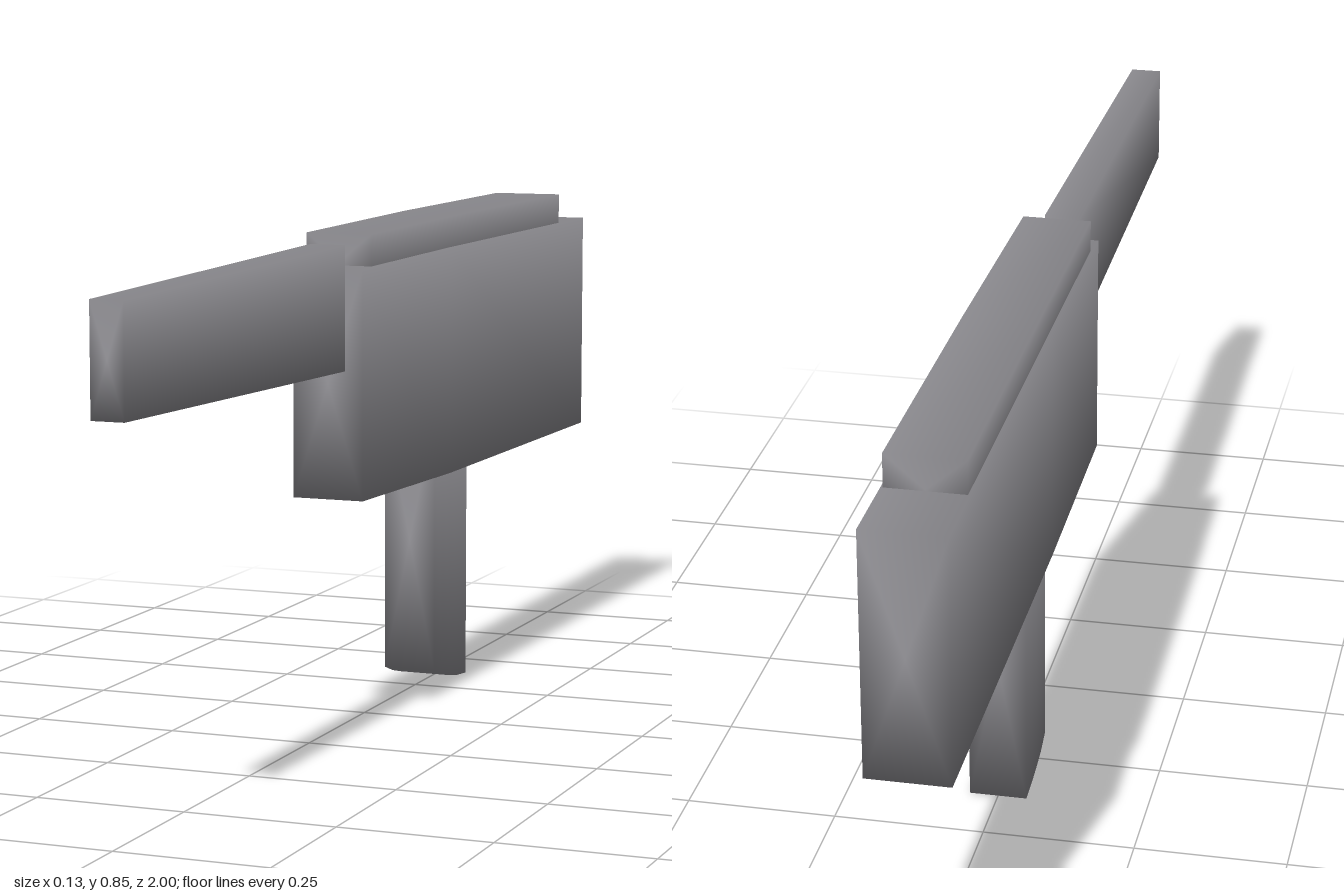
import * as THREE from 'three';

const material = new THREE.MeshStandardMaterial({ color: 0x98979c });

// Loft of rectangles from front to back; each section is [z, halfWidth, bottom, top].
// Corner normals point diagonally outward, so the shading rolls around the section.
function loft(name, sections) {
  const positions = [];
  const normals = [];
  const index = [];
  const d = Math.SQRT1_2;
  for (const [z, w, bottom, top] of sections) {
    positions.push(w, bottom, z, w, top, z, -w, top, z, -w, bottom, z);
    normals.push(d, -d, 0, d, d, 0, -d, d, 0, -d, -d, 0);
  }
  for (let s = 0; s < sections.length - 1; s++) {
    for (let k = 0; k < 4; k++) {
      const a = s * 4 + k;
      const b = s * 4 + (k + 1) % 4;
      index.push(a, a + 4, b, b, a + 4, b + 4);
    }
  }
  // End caps fan out from a neutral centre point, shaded by the rim normals
  for (const s of [0, sections.length - 1]) {
    const [z, , bottom, top] = sections[s];
    const centre = positions.length / 3;
    positions.push(0, (bottom + top) / 2, z);
    normals.push(0, 0, 0);
    for (let k = 0; k < 4; k++) {
      const a = s * 4 + k;
      const b = s * 4 + (k + 1) % 4;
      if (s === 0) index.push(centre, a, b);
      else index.push(centre, b, a);
    }
  }
  const geometry = new THREE.BufferGeometry();
  geometry.setAttribute('position', new THREE.Float32BufferAttribute(positions, 3));
  geometry.setAttribute('normal', new THREE.Float32BufferAttribute(normals, 3));
  geometry.setIndex(index);
  const mesh = new THREE.Mesh(geometry, material);
  mesh.name = name;
  return mesh;
}

export function createModel() {
  const model = new THREE.Group();
  model.name = 'model';

  model.add(
    // Tapering barrel, ending at the front of the body
    loft('barrel', [
      [1, 0.027, 0.63, 0.805],
      [0.165, 0.031, 0.613, 0.822],
    ]),
    // Deep main body
    loft('body', [
      [0.165, 0.062, 0.397, 0.783],
      [-0.25, 0.065, 0.388, 0.788],
      [-1, 0.067, 0.386, 0.791],
    ]),
    // Raised cover along the top of the body
    loft('topCover', [
      [0.115, 0.058, 0.74, 0.837],
      [-0.35, 0.061, 0.74, 0.843],
      [-0.86, 0.063, 0.74, 0.845],
    ]),
    // Grip with a curved underside, running up into the body
    loft('grip', [
      [-0.22, 0.047, 0.035, 0.5],
      [-0.26, 0.048, 0.021, 0.5],
      [-0.3, 0.048, 0.011, 0.5],
      [-0.34, 0.048, 0.004, 0.5],
      [-0.383, 0.048, 0, 0.5],
    ]),
  );
  return model;
}
